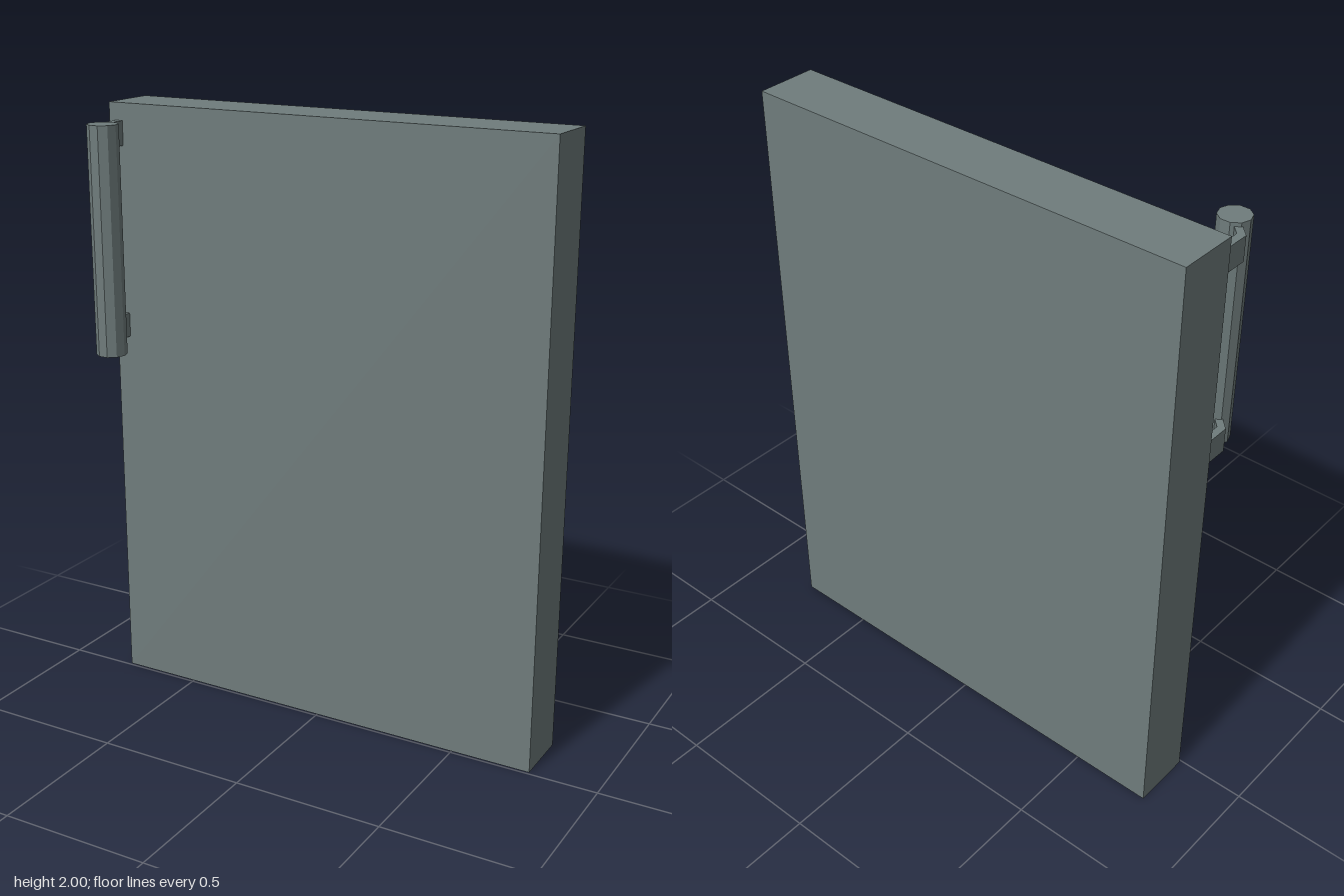
import * as THREE from 'three';

export function createModel() {
  const group = new THREE.Group();
  const greyMetal = new THREE.MeshStandardMaterial({ color: 0x6f7c7c, flatShading: true });
  greyMetal.name = 'grey metal';

  const add = (name, geometry, x, y, z) => {
    const mesh = new THREE.Mesh(geometry, greyMetal);
    mesh.name = name;
    mesh.position.set(x, y, z);
    group.add(mesh);
  };

  // Door slab
  add('doorPanel', new THREE.BoxGeometry(1.54, 2, 0.2), 0, 1, -0.109);

  // Ten-sided grip with a flat face towards the front
  const grip = new THREE.CylinderGeometry(0.05, 0.05, 0.74, 10);
  grip.rotateY(Math.PI / 2);
  add('handleGrip', grip, -0.67, 1.585, 0.162);

  // Two bent brackets, profile given as [x, z] and extruded upwards
  const profile = [
    [-0.745, -0.01], [-0.72, -0.01], [-0.72, 0.096],
    [-0.68, 0.137], [-0.696, 0.153], [-0.745, 0.104],
  ];
  const shape = new THREE.Shape(profile.map(([x, z]) => new THREE.Vector2(x, -z)));
  const bracket = new THREE.ExtrudeGeometry(shape, { depth: 0.08, bevelEnabled: false });
  bracket.rotateX(-Math.PI / 2);
  add('upperBracket', bracket, 0, 1.863, 0);
  add('lowerBracket', bracket, 0, 1.228, 0);

  return group;
}
